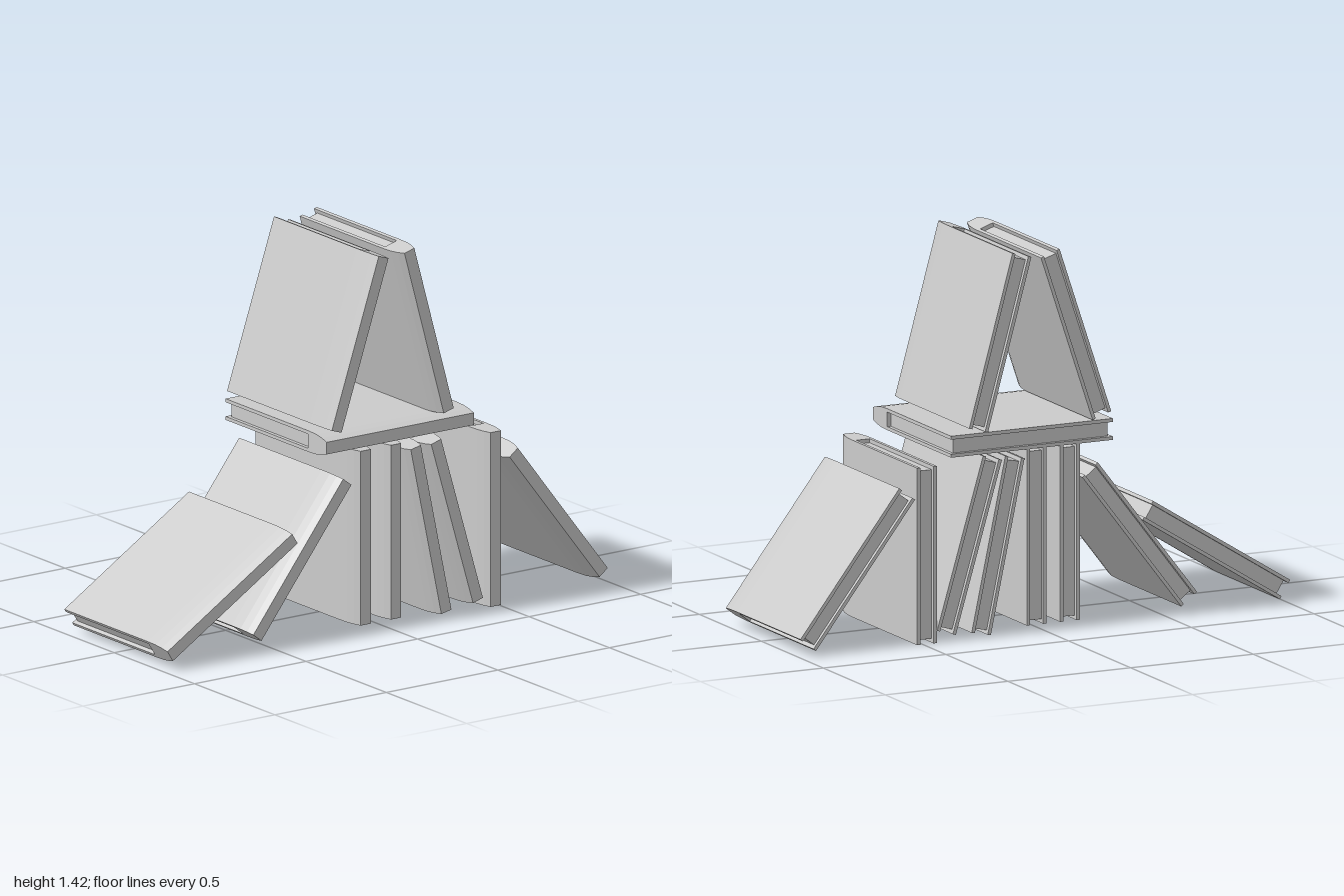
import * as THREE from 'three';

const HALF_W = 0.315, HALF_T = 0.04, SLOT = 0.027, INSET = 0.015, SPINE = 0.2;
const LENGTH = 0.66;

// Cover: C-shaped section with a bevelled spine at +x, extruded along the book's height
function coverGeometry() {
  const half = [[SPINE, HALF_T], [0.25, 0.038], [0.285, 0.032], [HALF_W, 0.023]];
  const points = [
    [-HALF_W, HALF_T], ...half,
    ...half.map(([x, t]) => [x, -t]).reverse(), [-HALF_W, -HALF_T],
    [-HALF_W, -SLOT], [SPINE, -SLOT], [SPINE, SLOT], [-HALF_W, SLOT],
  ];
  const shape = new THREE.Shape(points.map(([x, y]) => new THREE.Vector2(x, y)));
  const geo = new THREE.ExtrudeGeometry(shape, { depth: LENGTH, bevelEnabled: false });
  return geo.translate(0, 0, -LENGTH / 2).rotateX(-Math.PI / 2);
}

// Page block: set back from the fore edge and both ends
function pagesGeometry() {
  const width = SPINE + HALF_W - INSET;
  return new THREE.BoxGeometry(width, LENGTH - 2 * INSET, 2 * SLOT)
    .translate(SPINE - width / 2, 0, 0);
}

export function createModel() {
  const model = new THREE.Group();
  model.name = 'houseOfBooks';
  const material = new THREE.MeshStandardMaterial({ color: 0xcccccc, flatShading: true });
  const cover = coverGeometry();
  const pages = pagesGeometry();

  // Each book: name, then z and y at the lower end, z and y at the upper end
  const books = [
    ['frontOuterBook', 0.977, 0.057, 0.415, 0.41],
    ['frontLeaningBook', 0.586, 0.06, 0.18, 0.586],
    ['uprightBookFront', 0.099, 0.03, 0.099, 0.69],
    ['uprightBookMiddle', -0.037, 0.03, -0.037, 0.69],
    ['tiltedBookFront', -0.262, 0.02, -0.126, 0.66],
    ['tiltedBookBack', -0.404, 0.037, -0.217, 0.668],
    ['uprightBookBack', -0.484, 0.002, -0.484, 0.662],
    ['backLeaningBook', -0.968, 0.046, -0.564, 0.57],
    ['flatBook', -0.386, 0.727, 0.274, 0.727],
    ['roofBookFront', 0.23, 0.78, 0.018, 1.41],
    ['roofBookBack', -0.273, 0.778, -0.097, 1.412],
  ];

  for (const [name, z0, y0, z1, y1] of books) {
    const book = new THREE.Group();
    book.name = name;
    for (const [part, geo] of [['cover', cover], ['pages', pages]]) {
      const mesh = new THREE.Mesh(geo, material);
      mesh.name = part;
      book.add(mesh);
    }
    book.position.set(0, (y0 + y1) / 2, (z0 + z1) / 2);
    book.rotation.x = Math.atan2(z1 - z0, y1 - y0);
    model.add(book);
  }
  return model;
}
